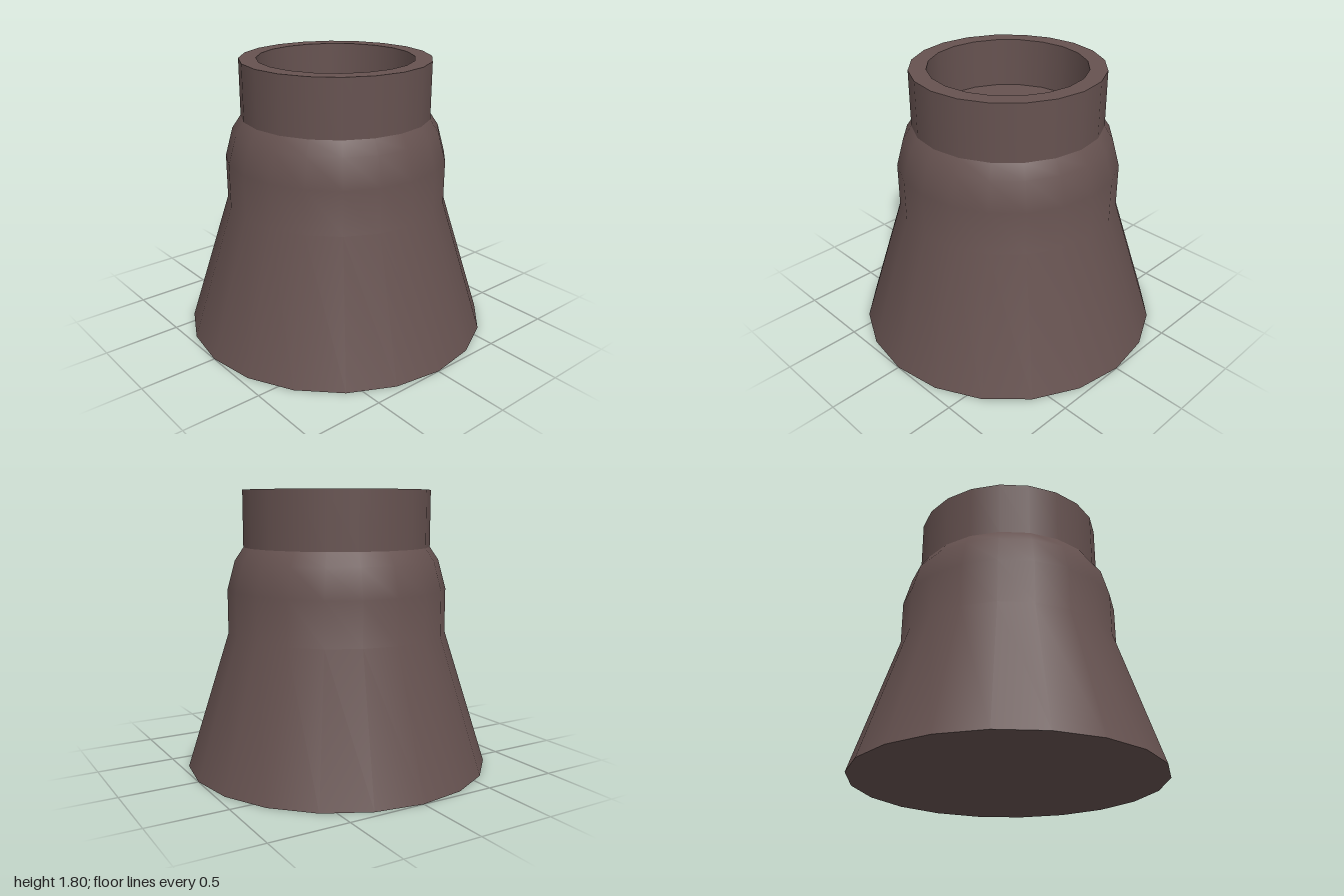
import * as THREE from 'three';

const SIDES = 20;
const material = new THREE.MeshStandardMaterial({ color: 0x665250 });

// Revolve a profile; each separate piece keeps a sharp edge to its neighbours.
function turned(name, profile) {
  const points = profile.map(([r, y]) => new THREE.Vector2(r, y));
  const mesh = new THREE.Mesh(new THREE.LatheGeometry(points, SIDES), material);
  mesh.name = name;
  return mesh;
}

export function createModel() {
  const model = new THREE.Group();
  model.name = 'flaredNozzle';

  model.add(
    // Closed underside
    turned('base', [[0, 0], [1, 0]]),
    // Flared skirt, straight waist and rounded shoulder
    turned('body', [[1, 0], [0.72, 0.885], [0.72, 1.17], [0.67, 1.355], [0.613, 1.44]]),
    // Collar with a flat rim and a shallow recess
    turned('collarWall', [[0.613, 1.44], [0.613, 1.805]]),
    turned('collarRim', [[0.613, 1.805], [0.503, 1.805]]),
    turned('recessWall', [[0.503, 1.805], [0.503, 1.485]]),
    turned('recessFloor', [[0.503, 1.485], [0, 1.485]])
  );
  return model;
}
